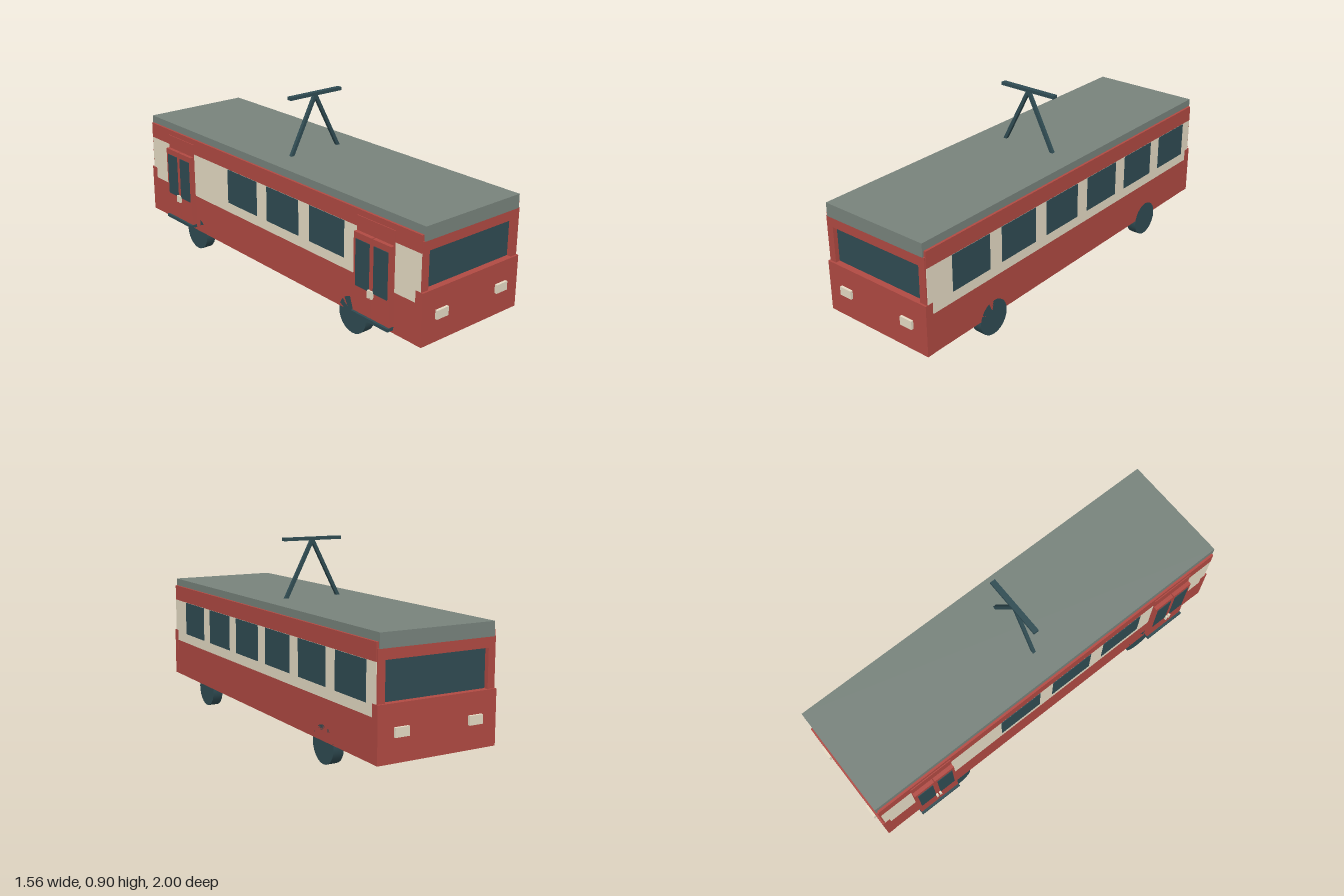
import * as THREE from 'three';

const mat = (name, color) => {
  const m = new THREE.MeshStandardMaterial({ color });
  m.name = name;
  return m;
};

export function createModel() {
  const red = mat('red paint', 0xb14a43);
  const cream = mat('cream paint', 0xe6dcc5);
  const grey = mat('roof grey', 0x78837c);
  const dark = mat('dark teal', 0x304c53);

  const tram = new THREE.Group();
  tram.name = 'tram';

  // Box given by its lower and upper limits on each axis
  const box = (name, material, [x0, x1], [y0, y1], [z0, z1], parent = tram) => {
    const mesh = new THREE.Mesh(new THREE.BoxGeometry(x1 - x0, y1 - y0, z1 - z0), material);
    mesh.position.set((x0 + x1) / 2, (y0 + y1) / 2, (z0 + z1) / 2);
    mesh.name = name;
    parent.add(mesh);
    return mesh;
  };
  const span = (c, w) => [c - w / 2, c + w / 2];
  const side = (s, a, b) => (s > 0 ? [a, b] : [-b, -a]);

  // Core and roof
  box('bodyCore', red, [-0.277, 0.277], [0.1, 0.555], [-0.965, 0.965]);
  box('roof', grey, [-0.277, 0.277], [0.555, 0.618], [-0.993, 0.993]);

  // Side walls in three painted bands, with windows
  const windows = [0.727, 0.421, 0.115, -0.191, -0.497, -0.803];
  for (const s of [1, -1]) {
    const x = side(s, 0.276, 0.288);
    box('lowerSide', red, x, [0.1, 0.285], [-0.985, 0.985]);
    box('windowBand', cream, x, [0.285, 0.505], [-0.985, 0.985]);
    box('upperSide', red, x, [0.505, 0.582], [-0.985, 0.985]);
    // The right side has doors in place of three windows
    for (const z of s > 0 ? windows : windows.slice(1, 4))
      box('sideWindow', dark, side(s, 0.285, 0.291), [0.335, 0.504], span(z, 0.228));
  }

  // Both ends: apron, recessed windscreen, pillars, header, headlights
  for (const angle of [0, Math.PI]) {
    const end = new THREE.Group();
    end.name = angle ? 'rearEnd' : 'frontEnd';
    end.rotation.y = angle;
    tram.add(end);
    box('apron', red, [-0.289, 0.289], [0.1, 0.34], [0.96, 1.0], end);
    box('header', red, [-0.285, 0.285], [0.51, 0.556], [0.96, 0.991], end);
    box('windscreen', dark, [-0.255, 0.255], [0.338, 0.512], [0.964, 0.97], end);
    for (const s of [1, -1]) {
      box('cornerPillar', red, side(s, 0.25, 0.285), [0.335, 0.515], [0.96, 0.991], end);
      box('headlight', cream, span(s * 0.18, 0.066), [0.205, 0.245], [0.99, 1.012], end);
    }
  }

  // Double doors on the right side
  for (const z of [0.73, -0.707]) {
    const door = new THREE.Group();
    door.name = 'door';
    door.position.z = z;
    tram.add(door);
    box('doorFrame', red, [-0.292, -0.28], [0.105, 0.556], span(0, 0.222), door);
    box('doorStep', dark, [-0.322, -0.285], [0.115, 0.13], span(0, 0.224), door);
    for (const s of [1, -1]) {
      box('doorLeaf', red, [-0.311, -0.288], [0.13, 0.49], side(s, 0.002, 0.11), door);
      box('doorGlass', dark, [-0.314, -0.308], [0.25, 0.462], side(s, 0.013, 0.096), door);
      box('doorHandle', cream, [-0.322, -0.31], [0.225, 0.26], side(s, 0.004, 0.014), door);
    }
  }

  // Wheels
  const wheelGeometry = new THREE.CylinderGeometry(0.085, 0.085, 0.05, 24);
  wheelGeometry.rotateZ(Math.PI / 2);
  for (const x of [-0.263, 0.263])
    for (const z of [-0.593, 0.593]) {
      const wheel = new THREE.Mesh(wheelGeometry, dark);
      wheel.position.set(x, 0.085, z);
      wheel.name = 'wheel';
      tram.add(wheel);
    }

  // Current collector: V-shaped arms and a contact bar
  box('contactBar', dark, [-0.152, 0.152], [0.885, 0.9], [-0.013, 0.013]);
  const foot = new THREE.Vector2(0.142, 0.612), top = new THREE.Vector2(0, 0.887);
  for (const s of [1, -1]) {
    const arm = new THREE.Mesh(new THREE.BoxGeometry(0.016, foot.distanceTo(top), 0.016), dark);
    arm.position.set((s * foot.x) / 2, (foot.y + top.y) / 2, 0);
    arm.rotation.z = s * Math.atan2(foot.x, top.y - foot.y);
    arm.name = 'collectorArm';
    tram.add(arm);
  }

  // The tram stands turned on its base
  tram.rotation.y = THREE.MathUtils.degToRad(32.5);
  const model = new THREE.Group();
  model.name = 'model';
  model.add(tram);
  return model;
}
